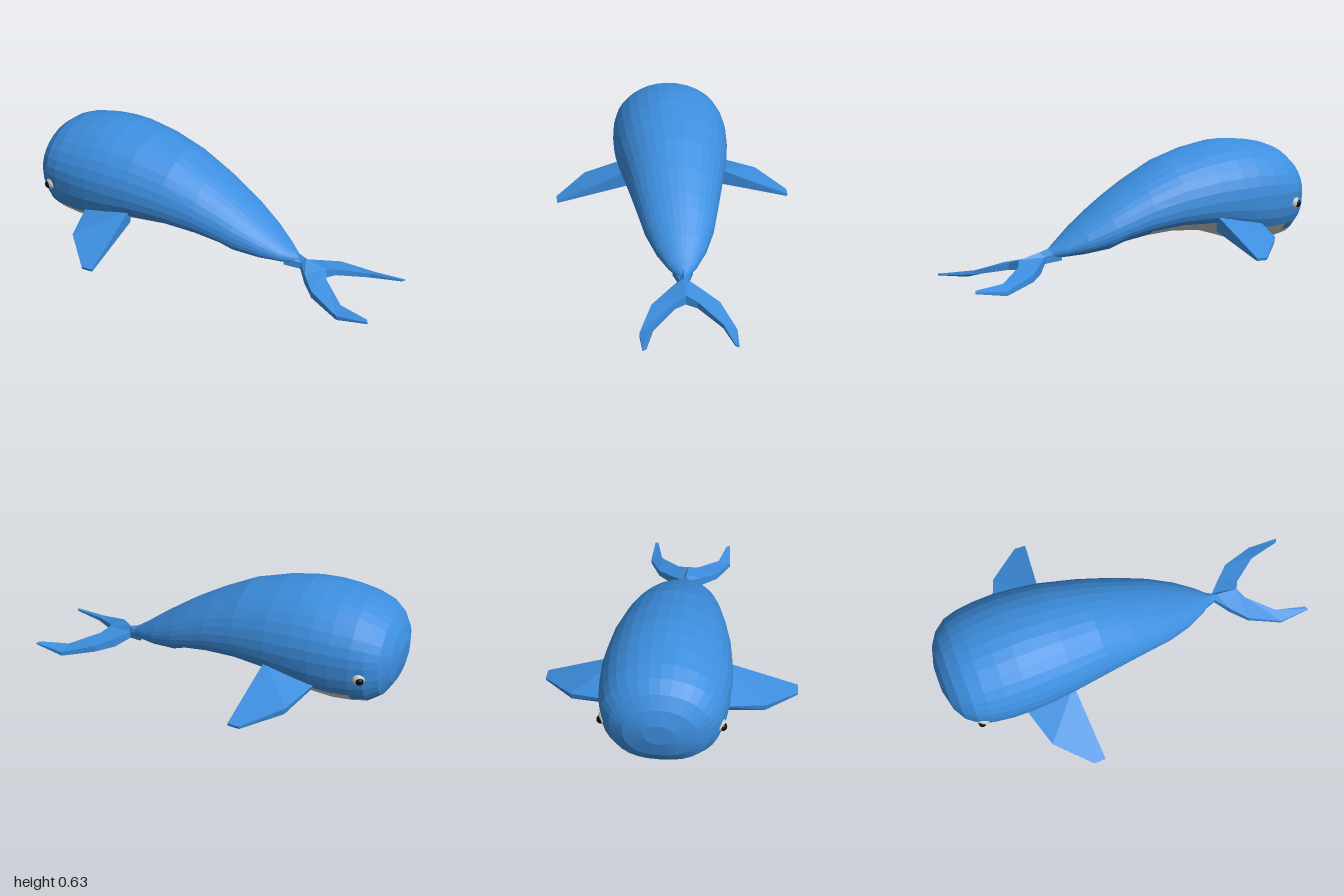
import * as THREE from 'three';
import { ConvexGeometry } from 'three/addons/geometries/ConvexGeometry.js';

const paint = (color) => new THREE.MeshStandardMaterial({ color, flatShading: true, side: THREE.DoubleSide });
const V = (x, y, z) => new THREE.Vector3(x, y, z);

// Skin closed rings of points (running along +x); keep(ring, segment) selects the faces
function loft(rings, keep = () => true) {
  const n = rings[0].length, index = [];
  for (let r = 0; r < rings.length - 1; r++) {
    for (let i = 0; i < n; i++) {
      if (!keep(r, i)) continue;
      const j = (i + 1) % n, a = r * n, b = a + n;
      index.push(a + i, b + i, a + j, a + j, b + i, b + j);
    }
  }
  const g = new THREE.BufferGeometry().setFromPoints(rings.flat());
  g.setIndex(index);
  g.computeVertexNormals();
  return g;
}

// Close a loft by collapsing its end rings to their centres
function capped(rings) {
  const point = (ring) => {
    const c = ring.reduce((s, p) => s.add(p), V(0, 0, 0)).divideScalar(ring.length);
    return ring.map(() => c.clone());
  };
  return [point(rings[0]), ...rings, point(rings[rings.length - 1])];
}

// Body stations: x, top, widest height, bottom, half width
const STATIONS = [
  [-0.995, 0.40, 0.35, 0.29, 0.07],
  [-0.97, 0.475, 0.35, 0.20, 0.17],
  [-0.93, 0.535, 0.35, 0.135, 0.235],
  [-0.87, 0.58, 0.36, 0.095, 0.28],
  [-0.80, 0.607, 0.36, 0.085, 0.30],
  [-0.70, 0.626, 0.36, 0.08, 0.312],
  [-0.60, 0.635, 0.36, 0.092, 0.315],
  [-0.50, 0.633, 0.355, 0.125, 0.31],
  [-0.36, 0.61, 0.35, 0.168, 0.295],
  [-0.17, 0.555, 0.325, 0.186, 0.26],
  [0.0, 0.47, 0.29, 0.175, 0.225],
  [0.13, 0.395, 0.245, 0.155, 0.195],
  [0.20, 0.35, 0.22, 0.125, 0.178],
  [0.33, 0.26, 0.175, 0.11, 0.13],
  [0.43, 0.185, 0.14, 0.105, 0.075],
  [0.51, 0.135, 0.117, 0.10, 0.012],
];
const SEG = 32;

function bodyRing([x, top, mid, bottom, w]) {
  return Array.from({ length: SEG }, (_, i) => {
    const a = (i / SEG) * Math.PI * 2, s = Math.sin(a), c = Math.cos(a);
    if (s >= 0) return V(x, mid + (top - mid) * s, w * c);
    // squarer underside
    const p = 0.82;
    return V(x, mid - (mid - bottom) * Math.abs(s) ** p, w * Math.sign(c) * Math.abs(c) ** p);
  });
}

export function createModel() {
  const whale = new THREE.Group();
  whale.name = 'whale';
  const blue = paint(0x3d8fe0), grey = paint(0xcccccc), black = paint(0x080808);
  const add = (name, geometry, material, parent = whale) => {
    const mesh = new THREE.Mesh(geometry, material);
    mesh.name = name;
    parent.add(mesh);
    return mesh;
  };

  // Blue skin with the belly panel left open, and the grey belly filling it
  const rings = capped(STATIONS.map(bodyRing));
  const isBelly = (r, i) => {
    if (r < 4 || r > 11) return false;
    const half = r === 11 ? 3 : r === 4 ? 4 : 5;
    return Math.abs(i + 0.5 - SEG * 0.75) < half;
  };
  add('body', loft(rings, (r, i) => !isBelly(r, i)), blue);
  add('belly', loft(rings, isBelly), grey);

  // Fluke stations: outer edge, inner edge, thickness
  const fluke = [
    [[0.44, 0.135, 0.05], [0.44, 0.165, 0], 0.04],
    [[0.52, 0.115, 0.02], [0.54, 0.138, 0], 0.035],
    [[0.58, 0.095, 0.085], [0.655, 0.11, 0], 0.05],
    [[0.66, 0.07, 0.165], [0.685, 0.09, 0.055], 0.035],
    [[0.83, 0.025, 0.23], [0.82, 0.048, 0.165], 0.022],
    [[0.99, 0.04, 0.222], [0.98, 0.043, 0.203], 0.008],
  ];

  for (const [side, s] of [['left', 1], ['right', -1]]) {
    // Tail fluke
    const sections = fluke.map(([o, n, t]) => {
      const ring = [
        V(o[0], o[1], o[2] * s), V(n[0], n[1], n[2] * s),
        V(n[0], n[1] - t, n[2] * s), V(o[0], o[1] - t, o[2] * s),
      ];
      return s > 0 ? ring : ring.reverse();
    });
    add(side + 'Fluke', loft(capped(sections)), blue);

    // Flipper, thick at the root and thin at the tip
    add(side + 'Flipper', new ConvexGeometry([
      V(-0.635, 0.22, 0.25 * s), V(-0.36, 0.275, 0.25 * s),
      V(-0.37, 0.19, 0.23 * s), V(-0.61, 0.175, 0.24 * s),
      V(-0.56, 0.18, 0.48 * s), V(-0.555, 0.145, 0.475 * s),
      V(-0.39, 0.124, 0.635 * s), V(-0.39, 0.11, 0.632 * s),
      V(-0.33, 0.126, 0.632 * s), V(-0.33, 0.112, 0.63 * s),
    ]), blue);

    // Eye with pupil facing outward and slightly forward
    const eye = new THREE.Group();
    eye.name = side + 'Eye';
    eye.position.set(-0.845, 0.303, 0.263 * s);
    whale.add(eye);
    add('eyeball', new THREE.SphereGeometry(0.036, 16, 12), grey, eye);
    add('pupil', new THREE.SphereGeometry(0.021, 12, 10), black, eye)
      .position.set(-0.012, -0.004, 0.02 * s);
  }
  return whale;
}
